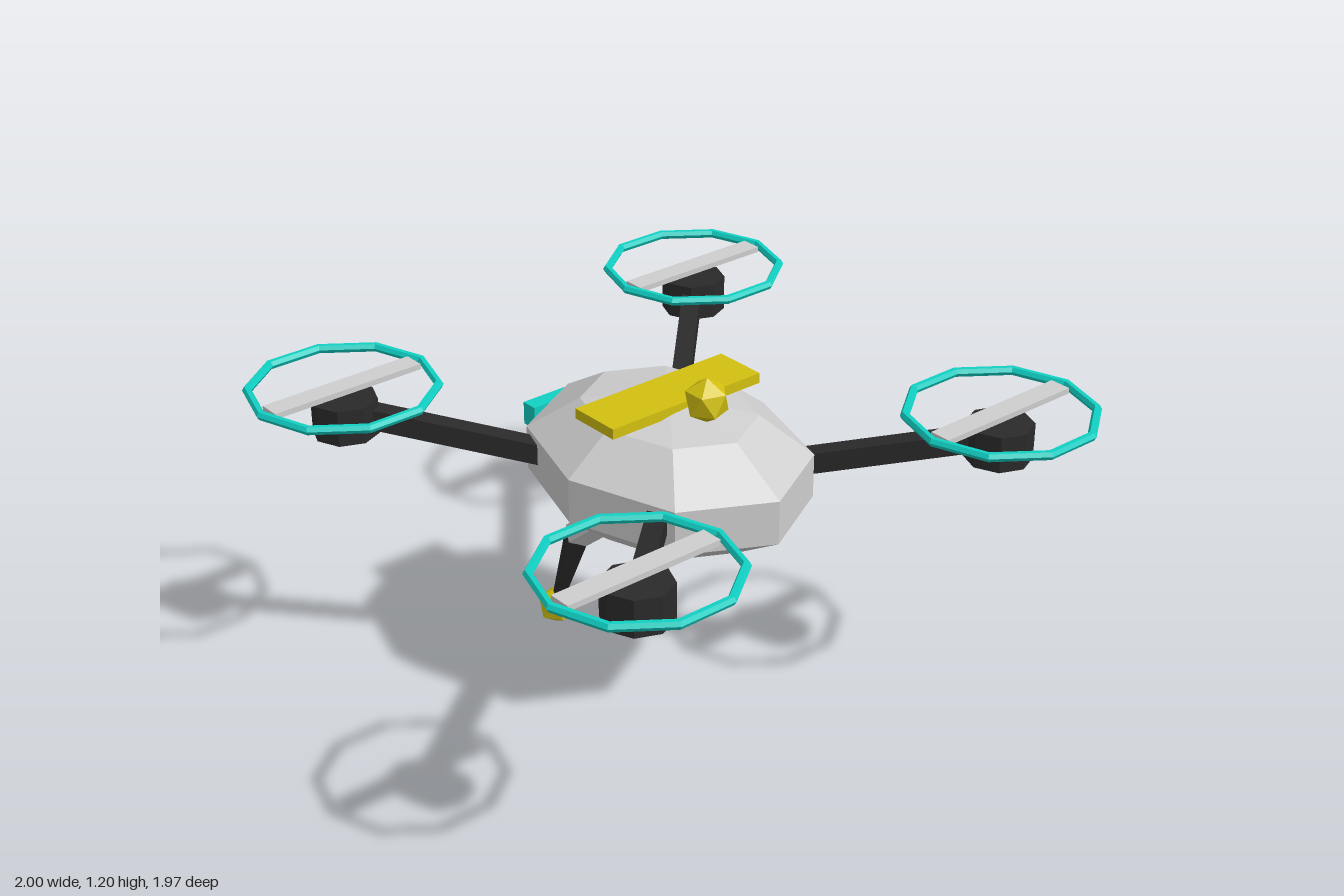
import * as THREE from 'three';

const mat = (name, color) => {
  const m = new THREE.MeshStandardMaterial({ color });
  m.name = name;
  return m;
};

// Splits shared vertices so every face is shaded flat
function facet(geometry) {
  const g = geometry.index ? geometry.toNonIndexed() : geometry;
  g.computeVertexNormals();
  return g;
}

// Icosahedron standing on one of its points
function pointedBall(radius) {
  const g = new THREE.IcosahedronGeometry(radius, 0);
  g.rotateX(-Math.atan((1 + Math.sqrt(5)) / 2));
  g.rotateY(Math.PI / 2);
  return g;
}

export function createModel() {
  const model = new THREE.Group();
  model.name = 'drone';
  const grey = mat('light grey', 0xcecece);
  const dark = mat('charcoal', 0x2a2a2a);
  const teal = mat('teal', 0x10d0c4);
  const yellow = mat('yellow', 0xd2c010);

  const add = (parent, name, geometry, material, x = 0, y = 0, z = 0) => {
    const mesh = new THREE.Mesh(facet(geometry), material);
    mesh.name = name;
    mesh.position.set(x, y, z);
    parent.add(mesh);
    return mesh;
  };

  // Faceted hull
  add(model, 'body', new THREE.SphereGeometry(1, 8, 5).scale(0.405, 0.23, 0.52), grey, 0, 0.855, 0);

  // Top bar, sensor ball and rear plate
  add(model, 'topBar', new THREE.BoxGeometry(0.57, 0.033, 0.176), yellow, 0, 1.077, 0);
  add(model, 'sensorBall', pointedBall(0.072), yellow, 0, 1.128, 0.172);
  add(model, 'rearPlate', new THREE.BoxGeometry(0.285, 0.075, 0.055), teal, 0, 0.855, -0.51);

  // Four rotor units on sloping arms
  const c = 0.697;
  for (const sx of [1, -1]) {
    for (const sz of [1, -1]) {
      const rotor = new THREE.Group();
      rotor.name = (sz > 0 ? 'front' : 'back') + (sx > 0 ? 'Left' : 'Right') + 'Rotor';
      model.add(rotor);

      const inner = new THREE.Vector3(sx * 0.2, 0.85, sz * 0.2);
      const outer = new THREE.Vector3(sx * 0.68, 0.982, sz * 0.68);
      const arm = add(rotor, 'arm', new THREE.BoxGeometry(0.06, 0.066, inner.distanceTo(outer)), dark);
      arm.position.copy(inner).lerp(outer, 0.5);
      arm.lookAt(outer);

      add(rotor, 'motor', new THREE.CylinderGeometry(0.104, 0.104, 0.116, 8), dark, sx * c, 0.972, sz * c);
      add(rotor, 'blade', new THREE.BoxGeometry(0.52, 0.018, 0.07), grey, sx * c, 1.063, sz * c);
      add(rotor, 'guardRing', new THREE.TorusGeometry(0.288, 0.0145, 6, 10).rotateX(Math.PI / 2), teal, sx * c, 1.063, sz * c);
    }
  }

  // Trailing jointed leg, five-sided, in the x = 0 plane
  const limb = (name, material, [y0, z0], [y1, z1], rTop, rBottom) => {
    const g = new THREE.CylinderGeometry(rTop, rBottom, Math.hypot(y0 - y1, z0 - z1), 5);
    g.rotateX(Math.atan2(z0 - z1, y0 - y1));
    add(model, name, g, material, 0, (y0 + y1) / 2, (z0 + z1) / 2);
  };
  limb('upperLeg', grey, [0.717, -0.072], [0.398, -0.457], 0.05, 0.05);
  limb('lowerLeg', dark, [0.387, -0.458], [0.08, -0.578], 0.046, 0.021);
  add(model, 'footBall', pointedBall(0.067), yellow, 0, 0.068, -0.58);

  return model;
}
